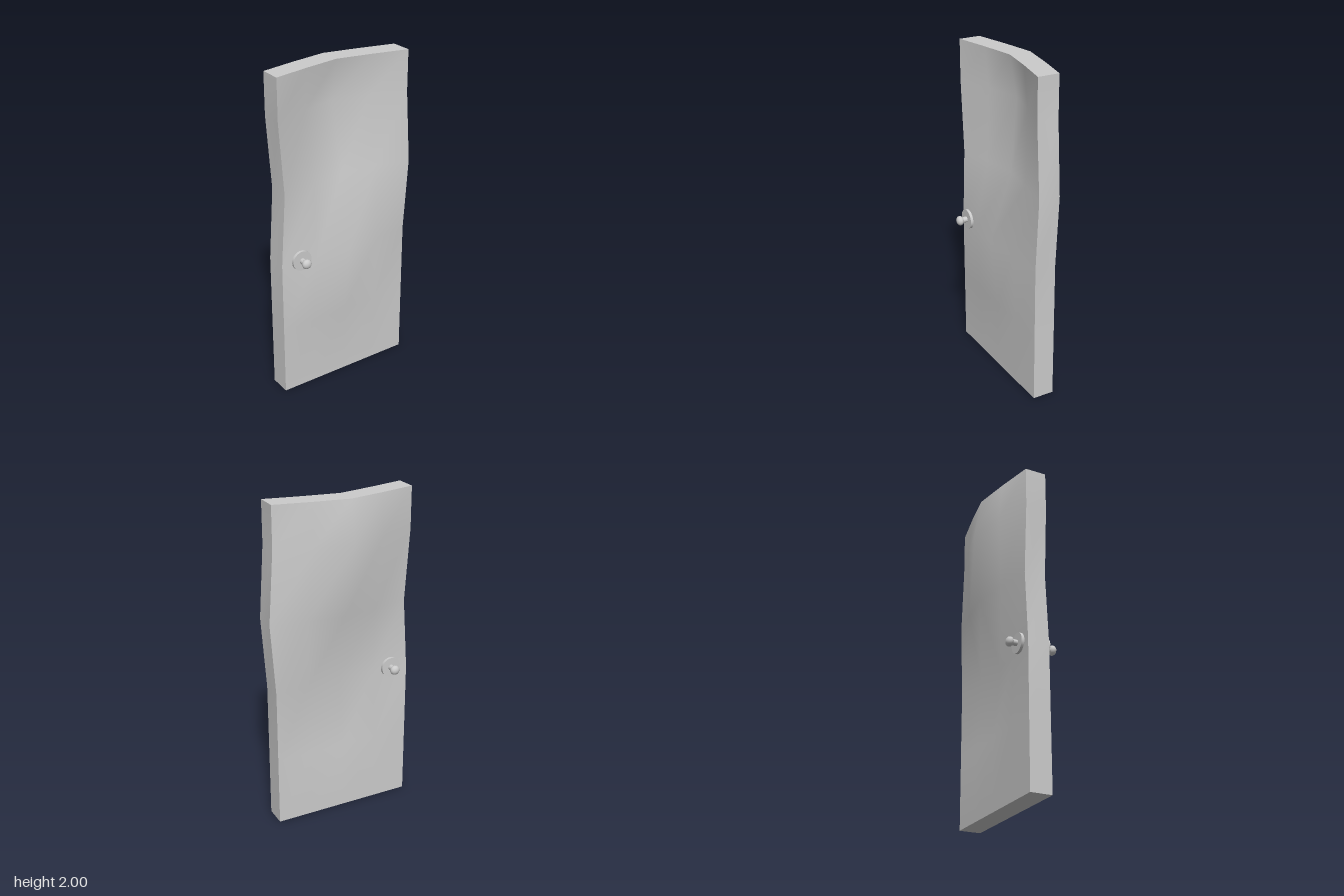
import * as THREE from 'three';

const material = new THREE.MeshStandardMaterial({ color: 0xcccccc });

// Warped slab: every row of the box gets its height, sideways shift and bulge
function doorSlab() {
  const heights = [0, 0.43, 0.87, 1.31, 1.75, 2];
  const shifts = [0, 0, 0, 0.03, 0, 0];
  const bulges = [0, 0, 0.05, -0.077, -0.13, -0.086];
  const across = [0, 0.55, 1, 0.55, 0];
  const geometry = new THREE.BoxGeometry(0.875, 2, 0.132, 4, 5, 1);
  const p = geometry.attributes.position;
  for (let i = 0; i < p.count; i++) {
    const row = Math.round((p.getY(i) / 2 + 0.5) * 5);
    const column = Math.round((p.getX(i) / 0.875 + 0.5) * 4);
    p.setXYZ(
      i,
      p.getX(i) - 0.017 + shifts[row],
      heights[row],
      p.getZ(i) + 0.01 + bulges[row] * across[column]
    );
  }
  geometry.computeVertexNormals();
  const mesh = new THREE.Mesh(geometry, material);
  mesh.name = 'doorSlab';
  return mesh;
}

// Handle pointing along +z, with its plate resting on z = 0
function doorKnob(name) {
  const knob = new THREE.Group();
  knob.name = name;
  const add = (partName, geometry, z) => {
    const mesh = new THREE.Mesh(geometry.rotateX(Math.PI / 2), material);
    mesh.name = partName;
    mesh.position.z = z;
    knob.add(mesh);
  };
  add('plate', new THREE.CylinderGeometry(0.061, 0.061, 0.017, 32), 0.0085);
  add('stem', new THREE.CylinderGeometry(0.018, 0.018, 0.06, 24), 0.02);
  add('grip', new THREE.SphereGeometry(0.03, 24, 8).scale(1, 0.75, 1), 0.0615);
  return knob;
}

export function createModel() {
  const door = new THREE.Group();
  door.name = 'warpedDoor';
  door.add(doorSlab());

  const frontKnob = doorKnob('frontKnob');
  frontKnob.position.set(-0.34, 0.89, 0.098);
  const backKnob = doorKnob('backKnob');
  backKnob.position.set(-0.34, 0.89, -0.051);
  backKnob.rotation.y = Math.PI;
  door.add(frontKnob, backKnob);
  return door;
}
